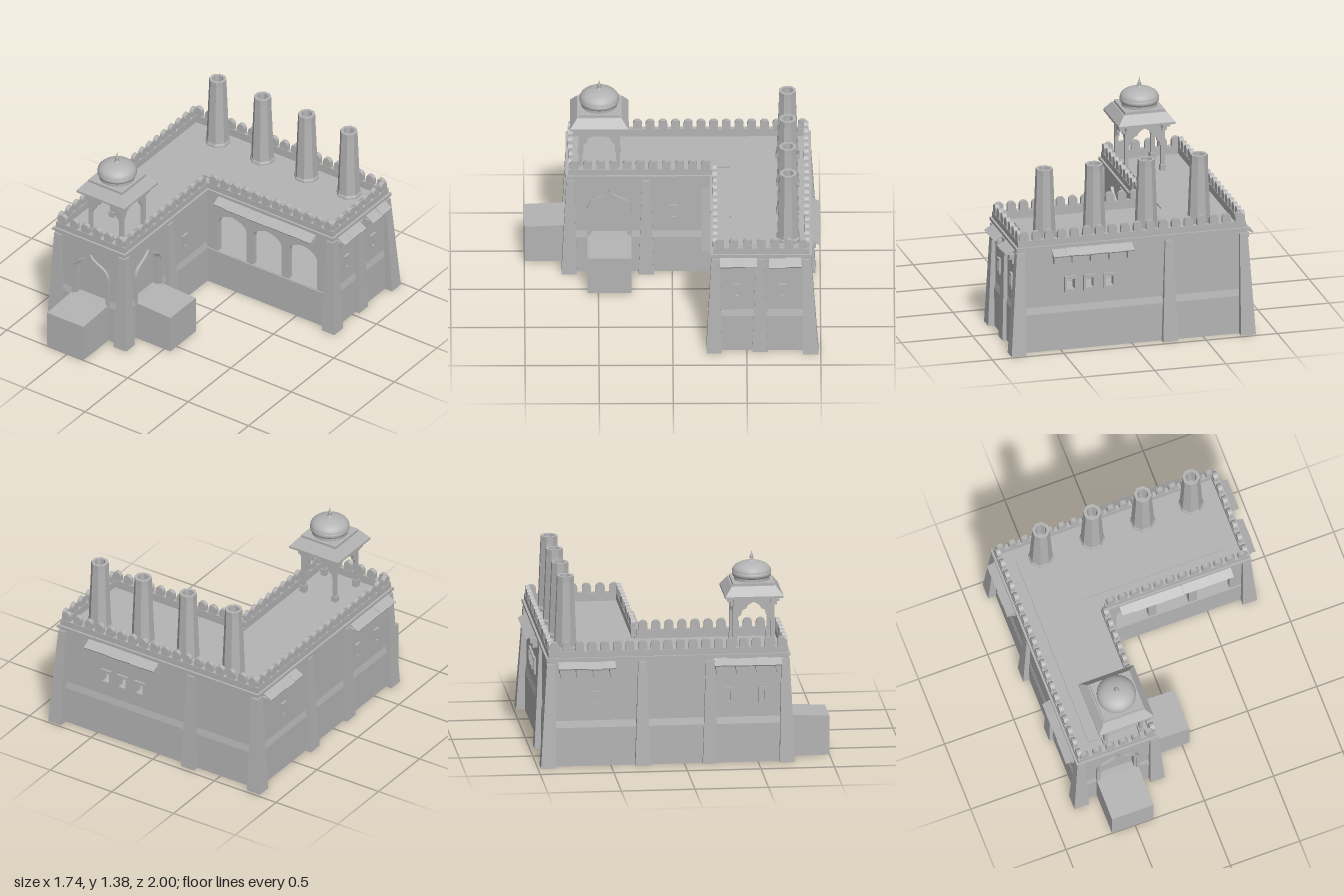
import * as THREE from 'three';

const stone = new THREE.MeshStandardMaterial({ color: 0xb4b4b4, side: THREE.DoubleSide });
stone.name = 'stone';

function add(parent, geo, name, x = 0, y = 0, z = 0) {
  const m = new THREE.Mesh(geo, stone);
  m.name = name;
  m.position.set(x, y, z);
  parent.add(m);
  return m;
}
// Box given by its minimum and maximum corners
function slab(parent, name, x0, x1, y0, y1, z0, z1) {
  return add(parent, new THREE.BoxGeometry(x1 - x0, y1 - y0, z1 - z0), name, (x0 + x1) / 2, (y0 + y1) / 2, (z0 + z1) / 2);
}
// Box without a bottom, its corners moved by a rule
function bentBox(w, h, d, rule) {
  const g = new THREE.BoxGeometry(w, h, d).translate(0, h / 2, 0);
  const index = Array.from(g.index.array);
  index.splice(18, 6);
  g.setIndex(index);
  const p = g.attributes.position, v = new THREE.Vector3();
  for (let i = 0; i < p.count; i++) {
    rule(v.fromBufferAttribute(p, i));
    p.setXYZ(i, v.x, v.y, v.z);
  }
  g.computeVertexNormals();
  return g;
}
const extrude = (shape, depth) => new THREE.ExtrudeGeometry(shape, { depth, bevelEnabled: false, curveSegments: 10 });
const polygon = (pts) => new THREE.Shape(pts.map(([x, y]) => new THREE.Vector2(x, y)));
const rect = (x0, x1, y0, y1) => polygon([[x0, y0], [x1, y0], [x1, y1], [x0, y1]]);

let seed = 7;
const random = () => (seed = (seed * 16807) % 2147483647) / 2147483647;

// Pointed arch outline; ogee pinches the tip
function arch(cx, hw, y0, ys, yp, ogee = false) {
  const h = yp - ys, a = ogee ? 0.75 : 0.6, b = ogee ? 0.25 : 0.5, c = ogee ? 0.55 : 0.88;
  const s = new THREE.Shape();
  s.moveTo(cx - hw, y0);
  s.lineTo(cx + hw, y0);
  s.lineTo(cx + hw, ys);
  s.bezierCurveTo(cx + hw, ys + a * h, cx + b * hw, ys + c * h, cx, yp);
  s.bezierCurveTo(cx - b * hw, ys + c * h, cx - hw, ys + a * h, cx - hw, ys);
  s.lineTo(cx - hw, y0);
  return s;
}

// L-shaped plan, inset from the outer footprint, lying at height y
function plan(parent, name, inset, y, h) {
  const i = inset;
  const s = polygon([[-0.8 + i, -0.705 + i], [-0.235 - i, -0.705 + i], [-0.235 - i, 0.27 + i],
    [0.8 - i, 0.27 + i], [0.8 - i, 0.925 - i], [-0.8 + i, 0.925 - i]]);
  add(parent, extrude(s, h).rotateX(-Math.PI / 2), name, 0, y, 0);
}

// Sloping plank awning on stepped brackets
function awning(wall, u0, u1, brackets) {
  const n = Math.round((u1 - u0) / 0.09), w = (u1 - u0) / n;
  for (let i = 0; i < n; i++) {
    const m = add(wall, new THREE.BoxGeometry(w, 0.009, 0.078 + random() * 0.01), 'awningPlank',
      u0 + (i + 0.5) * w, 0.706 + random() * 0.006, 0.031);
    m.rotation.set(0.47 + random() * 0.06, 0, (random() - 0.5) * 0.06);
  }
  for (let i = 0; i < brackets; i++) {
    const u = u0 + 0.025 + (u1 - u0 - 0.05) * i / (brackets - 1);
    slab(wall, 'bracketTop', u - 0.016, u + 0.016, 0.655, 0.69, -0.02, 0.042);
    slab(wall, 'bracketFoot', u - 0.011, u + 0.011, 0.622, 0.655, -0.02, 0.024);
  }
}

function windowFrame(wall, u, w, h) {
  const s = rect(u - w / 2, u + w / 2, 0.465 - h / 2, 0.465 + h / 2);
  s.holes.push(rect(u - w / 2 + 0.015, u + w / 2 - 0.015, 0.485 - h / 2, 0.445 + h / 2));
  add(wall, extrude(s, 0.02), 'windowFrame', 0, 0, -0.015);
}

// One facade: x runs along the wall, z points outward
function buildWall(root, [x0, z0], [x1, z1], o) {
  const wall = new THREE.Group();
  wall.name = o.name;
  wall.position.set(x0, 0, z0);
  wall.rotation.y = Math.atan2(z0 - z1, x1 - x0);
  root.add(wall);
  const L = Math.hypot(x1 - x0, z1 - z0);
  const s0 = o.innerStart ? -0.01 : 0.01, s1 = o.innerEnd ? L + 0.01 : L - 0.01;
  const { doors = [], arches = [], slits = [], openings = [], awnings = [] } = o;

  const shape = rect(s0, s1, 0.25, 0.74);
  doors.forEach((u) => shape.holes.push(arch(u, 0.12, 0.285, 0.5, 0.6)));
  arches.forEach((u) => shape.holes.push(arch(u, 0.117, 0.27, 0.5, 0.585)));
  openings.forEach((u) => shape.holes.push(rect(u - 0.0275, u + 0.0275, 0.43, 0.5)));
  add(wall, extrude(shape, 0.04), 'upperWall', 0, 0, -0.05);

  // Thicker lower wall with a sloped ledge broken at the doors
  slab(wall, 'lowerWall', 0, L, 0, 0.268, -0.02, 0);
  const cuts = [0, ...doors.flatMap((u) => [u - 0.15, u + 0.15]), L];
  if (!arches.length) {
    for (let i = 0; i < cuts.length; i += 2) {
      const ledge = polygon([[0, 0.265], [0.01, 0.315], [0.03, 0.315], [0.03, 0.265]]);
      add(wall, extrude(ledge, cuts[i + 1] - cuts[i]), 'ledge', cuts[i]).rotation.y = Math.PI / 2;
    }
  }
  // Framed door recesses
  doors.forEach((u) => {
    const frame = arch(u, 0.153, 0.275, 0.47, 0.64, true);
    frame.holes.push(arch(u, 0.135, 0.28, 0.48, 0.615, true));
    add(wall, extrude(frame, 0.025), 'archFrame', 0, 0, -0.015);
    const rim = arch(u, 0.138, 0.276, 0.48, 0.618, true);
    rim.holes.push(arch(u, 0.12, 0.285, 0.5, 0.6));
    add(wall, extrude(rim, 0.012), 'archRim', 0, 0, -0.015);
    slab(wall, 'doorPanel', u - 0.135, u + 0.135, 0.27, 0.63, -0.07, -0.055);
  });
  slits.forEach((u) => windowFrame(wall, u, 0.055, 0.11));
  openings.forEach((u) => windowFrame(wall, u, 0.085, 0.11));
  awnings.forEach((a) => awning(wall, ...a));

  // Cornice, parapet and round-topped merlons
  slab(wall, 'corniceLower', -0.005, L + 0.005, 0.72, 0.737, -0.03, 0.005);
  slab(wall, 'cornice', -0.015, L + 0.015, 0.737, 0.757, -0.03, 0.015);
  slab(wall, 'parapet', 0, L, 0.75, 0.8, -0.035, 0);
  const n = Math.round(L / 0.088), step = L / n;
  const m = new THREE.Shape();
  m.moveTo(-0.03, 0);
  m.lineTo(0.03, 0);
  m.lineTo(0.03, 0.036);
  m.absarc(0, 0.036, 0.03, 0, Math.PI, false);
  const merlon = extrude(m, 0.03);
  for (let i = 0; i < n; i++) add(wall, merlon, 'merlon', (i + 0.5) * step, 0.799, -0.0325);
}

// Tapered buttress leaning back against the wall
function buttress(root, x, z, sx, sz, out = 0.044) {
  const g = bentBox(1, 0.715, 1, (v) => {
    const top = v.y > 0.3, k = top ? 0.056 : 0.104, c = top ? -0.018 : out - 0.052;
    v.set(v.x * k + sx * c, v.y, v.z * k + sz * c);
  });
  add(root, g, 'buttress', x, 0, z);
}

// Octagonal hollow chimney
function chimney(root, x, z) {
  const pts = [[0.08, 0.735], [0.08, 0.76], [0.073, 0.775], [0.056, 1.22], [0.056, 1.26], [0.036, 1.26], [0.034, 1.1], [0.001, 1.1]]
    .map(([a, y]) => new THREE.Vector2(a / Math.cos(Math.PI / 8), y));
  const g = new THREE.LatheGeometry(pts, 8).rotateY(Math.PI / 8).toNonIndexed();
  g.computeVertexNormals();
  add(root, g, 'chimney', x, 0, z);
}

// Domed roof pavilion on four posts
function pavilion(root, x, z) {
  const p = new THREE.Group();
  p.name = 'pavilion';
  p.position.set(x, 0, z);
  root.add(p);
  const panel = new THREE.Shape();
  panel.moveTo(-0.12, 0.93);
  panel.lineTo(-0.108, 0.93);
  panel.quadraticCurveTo(-0.107, 0.965, -0.085, 0.965);
  panel.quadraticCurveTo(-0.085, 1.01, -0.052, 1.01);
  panel.quadraticCurveTo(-0.045, 1.04, 0, 1.058);
  panel.quadraticCurveTo(0.045, 1.04, 0.052, 1.01);
  panel.quadraticCurveTo(0.085, 1.01, 0.085, 0.965);
  panel.quadraticCurveTo(0.107, 0.965, 0.108, 0.93);
  [[0.12, 0.93], [0.12, 1.1], [-0.12, 1.1]].forEach((q) => panel.lineTo(...q));
  const archPanel = extrude(panel, 0.018);
  for (let i = 0; i < 4; i++) {
    const side = new THREE.Group();
    side.name = 'pavilionSide';
    side.rotation.y = i * Math.PI / 2;
    p.add(side);
    add(side, archPanel, 'scallopedArch', 0, 0, 0.117);
    slab(side, 'postBase', 0.107, 0.147, 0.74, 0.79, 0.107, 0.147);
    slab(side, 'post', 0.114, 0.14, 0.78, 1.1, 0.114, 0.14);
    for (const s of [-1, 1]) {
      const b = s * 0.127;
      slab(side, 'eaveBracket', b - 0.013, b + 0.013, 1.06, 1.1, 0.13, 0.175);
      slab(side, 'eaveBracketFoot', b - 0.01, b + 0.01, 1.035, 1.06, 0.13, 0.157);
    }
  }
  slab(p, 'ceiling', -0.15, 0.15, 1.085, 1.1, -0.15, 0.15);
  slab(p, 'eaveEdge', -0.198, 0.198, 1.095, 1.11, -0.198, 0.198);
  add(p, bentBox(1, 0.062, 1, (v) => {
    const k = v.y > 0.03 ? 0.3 : 0.396;
    v.set(v.x * k, v.y, v.z * k);
  }), 'eaveRoof', 0, 1.109, 0);
  slab(p, 'roofBlock', -0.14, 0.14, 1.16, 1.188, -0.14, 0.14);
  const lathe = (pts, name) => add(p, new THREE.LatheGeometry(pts.map(([r, y]) => new THREE.Vector2(r, y)), 32), name);
  lathe([[0.121, 1.185], [0.121, 1.208]], 'drum');
  lathe([[0.121, 1.208], [0.128, 1.213], [0.133, 1.224], [0.133, 1.236], [0.127, 1.244]], 'domeRing');
  const dome = [];
  for (let i = 0; i <= 10; i++) {
    const t = i / 10 * Math.PI / 2;
    dome.push([0.133 * Math.cos(t) + 0.0005, 1.244 + 0.07 * Math.sin(t)]);
  }
  lathe(dome, 'dome');
  lathe([[0.022, 1.308], [0.018, 1.318], [0.007, 1.325], [0.014, 1.337], [0.01, 1.35], [0.004, 1.365], [0.0005, 1.385]], 'finial');
}

export function createModel() {
  const root = new THREE.Group();
  root.name = 'courtyardHall';
  const A = [-0.8, 0.705], B = [-0.235, 0.705], C = [-0.235, -0.27], D = [0.8, -0.27], E = [0.8, -0.925], F = [-0.8, -0.925];

  buildWall(root, A, B, { name: 'wingFront', doors: [0.285] });
  buildWall(root, B, C, { name: 'wingInnerSide', doors: [0.28], slits: [0.715], innerEnd: true });
  buildWall(root, C, D, { name: 'hallFront', arches: [0.198, 0.488, 0.782], awnings: [[0.095, 0.9, 7]], innerStart: true });
  buildWall(root, D, E, { name: 'hallEnd', slits: [0.165, 0.475], awnings: [[0.05, 0.3, 3], [0.38, 0.6, 3]] });
  buildWall(root, E, F, { name: 'hallBack', openings: [0.37, 0.503, 0.643], awnings: [[0.235, 0.8, 5]] });
  buildWall(root, F, A, { name: 'outerSide', slits: [0.325, 1.225, 1.455], awnings: [[0.065, 0.455, 4], [1.125, 1.585, 4]] });

  // Floor and roof
  plan(root, 'floor', 0.015, 0.25, 0.015);
  plan(root, 'roof', 0.02, 0.72, 0.02);
  plan(root, 'roofTerrace', 0.12, 0.735, 0.015);

  // Corner and intermediate buttresses
  buttress(root, ...A, -1, 1);
  buttress(root, ...B, 1, 1);
  buttress(root, ...D, 1, 1);
  buttress(root, ...E, 1, -1, 0.06);
  buttress(root, ...F, -1, -1, 0.055);
  buttress(root, -0.235, 0.175, 1, 0);
  buttress(root, -0.8, 0.175, -1, 0, 0.03);
  buttress(root, -0.8, -0.285, -1, 0);
  buttress(root, 0.8, -0.59, 1, 0, 0.03);
  buttress(root, -0.26, -0.925, 0, -1);

  // Entrance platforms, sloping slightly outward
  const platform = (w, d, f) => bentBox(w, 0.286, d, (v) => { if (v.y > 0.1) v.y -= 0.014 * f(v); });
  add(root, platform(0.3, 0.3, (v) => (v.z > 0 ? 1 : 0)), 'frontPlatform', -0.517, 0, 0.85);
  add(root, platform(0.29, 0.297, (v) => (v.x > 0 ? 1 : 0)), 'sidePlatform', -0.093, 0, 0.424);

  [-0.51, -0.14, 0.225, 0.575].forEach((x) => chimney(root, x, -0.78));
  pavilion(root, -0.445, 0.493);
  return root;
}
